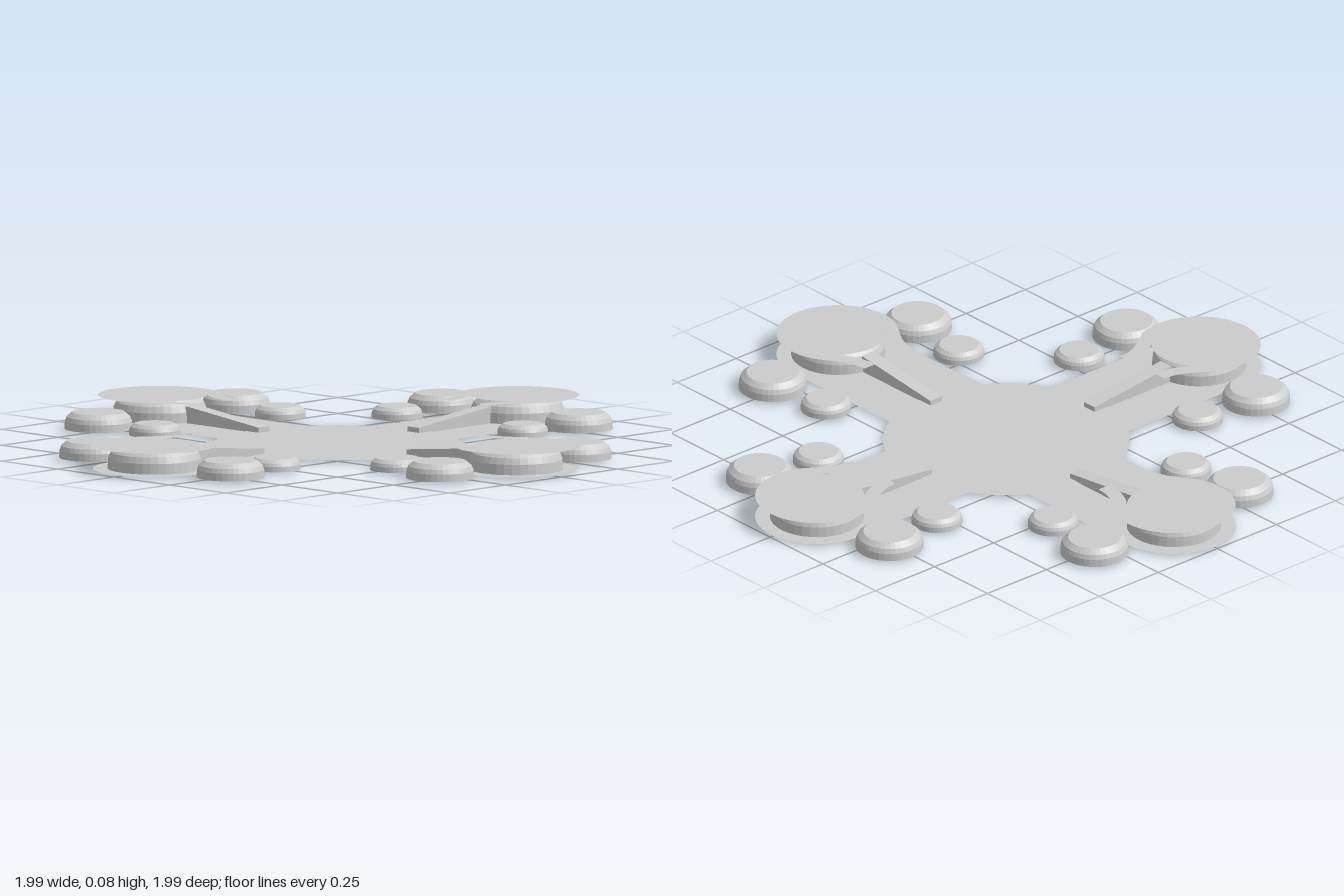
import * as THREE from 'three';

const material = new THREE.MeshStandardMaterial({ color: 0xcccccc, side: THREE.DoubleSide });
const flatMaterial = new THREE.MeshStandardMaterial({ color: 0xcccccc, side: THREE.DoubleSide, flatShading: true });

function add(parent, name, geometry, mat = material) {
  const mesh = new THREE.Mesh(geometry, mat);
  mesh.name = name;
  parent.add(mesh);
  return mesh;
}

// Flat sheet lying level at height y (shape y becomes z)
function sheet(shape, y) {
  return new THREE.ShapeGeometry(shape, 32).rotateX(Math.PI / 2).translate(0, y, 0);
}

// Hollow pod with a bevelled rim and an open bottom
function podGeometry(radius, height, topRadius, capped) {
  const base = 0.007;
  const profile = [
    [radius, base],
    [radius * 0.985, base + (height - base) * 0.45],
    [radius * 0.93, base + (height - base) * 0.72],
    [topRadius, height],
  ];
  if (capped) profile.push([0, height]);
  return new THREE.LatheGeometry(profile.map(([r, y]) => new THREE.Vector2(r, y)), 36);
}

const END = 0.8;      // distance of the end pod from the middle
const WIDTH = 0.195;  // half width of an arm

// Arm strip with a rounded outer end
function armShape() {
  const s = new THREE.Shape();
  s.moveTo(-WIDTH, 0.25);
  s.lineTo(WIDTH, 0.25);
  s.lineTo(WIDTH, END);
  s.absarc(0, END, WIDTH, 0, Math.PI, false);
  s.closePath();
  return s;
}

// Round top plate with two curved prongs reaching inwards
function plateShape() {
  const s = new THREE.Shape();
  const joint = Math.atan2(-0.08, 0.178);
  const cusp = Math.atan2(-0.1, 0.11);
  s.absarc(0, END, WIDTH, joint, Math.PI - joint, false);
  s.bezierCurveTo(-0.13, 0.645, -0.105, 0.62, -0.105, 0.56);
  s.lineTo(-0.056, 0.56);
  s.quadraticCurveTo(-0.06, 0.64, -0.11, 0.7);
  s.absarc(0, END, 0.149, Math.PI - cusp, Math.PI * 2 + cusp, false);
  s.quadraticCurveTo(0.06, 0.64, 0.056, 0.56);
  s.lineTo(0.105, 0.56);
  s.bezierCurveTo(0.105, 0.62, 0.13, 0.645, 0.178, 0.72);
  return s;
}

// Wedge rising from the hub to the end pod
function stemGeometry() {
  const side = new THREE.Shape([
    [0.335, 0.006], [0.66, 0], [0.66, 0.06], [0.335, 0.024],
  ].map(([z, y]) => new THREE.Vector2(z, y)));
  return new THREE.ExtrudeGeometry(side, { depth: 0.05, bevelEnabled: false })
    .rotateY(-Math.PI / 2).translate(0.025, 0, 0);
}

function createArm(name, angle, shift) {
  const arm = new THREE.Group();
  arm.name = name;
  arm.rotation.y = angle;

  const body = new THREE.Group();
  body.name = 'armBody';
  body.position.x = shift;
  arm.add(body);

  add(body, 'armStrip', sheet(armShape(), 0.006));
  add(body, 'topPlate', sheet(plateShape(), 0.08));
  add(body, 'stem', stemGeometry(), flatMaterial);
  add(body, 'endPod', podGeometry(0.149, 0.08, 0.115, false), flatMaterial).position.z = END;

  // Paired free-standing pods on both sides of the arm
  for (const side of [-1, 1]) {
    add(body, 'largeSidePod', podGeometry(0.108, 0.06, 0.083, true), flatMaterial)
      .position.set(side * 0.307, 0, 0.767);
    add(body, 'smallSidePod', podGeometry(0.081, 0.044, 0.062, true), flatMaterial)
      .position.set(side * 0.281, 0, 0.543);
  }
  return arm;
}

export function createModel() {
  const model = new THREE.Group();
  model.name = 'fourArmedPlatform';

  // Round hub
  add(model, 'hub', new THREE.CircleGeometry(0.39, 64).rotateX(-Math.PI / 2).translate(0, 0.008, 0));

  // Arms, each with its slight sideways shift
  model.add(createArm('frontArm', 0, -0.003));
  model.add(createArm('leftArm', Math.PI / 2, -0.002));
  model.add(createArm('backArm', Math.PI, -0.005));
  model.add(createArm('rightArm', -Math.PI / 2, -0.018));
  return model;
}
